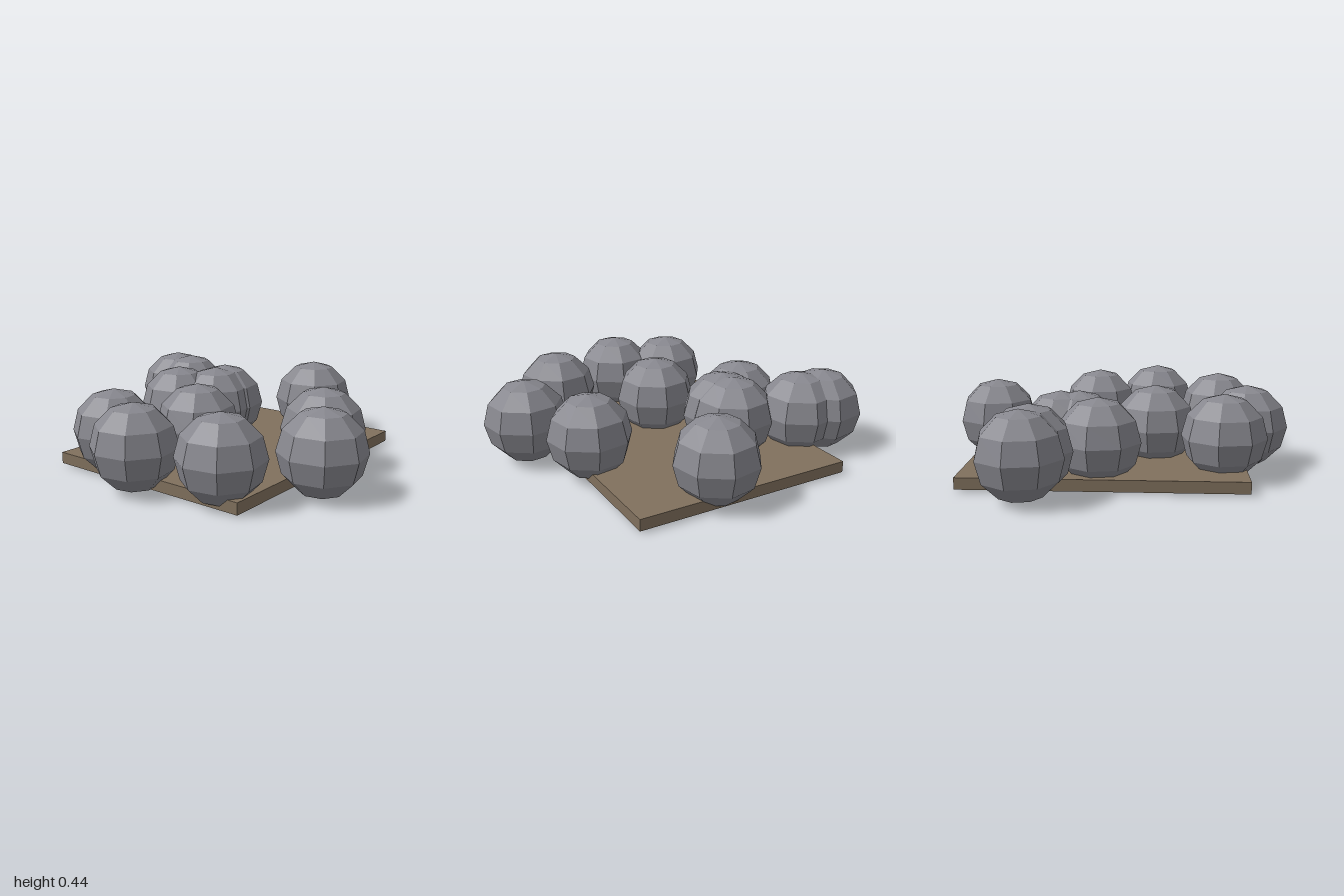
import * as THREE from 'three';

export function createModel() {
  const model = new THREE.Group();
  const stone = new THREE.MeshStandardMaterial({ color: 0x88888f });
  stone.name = 'stoneGrey';
  const earth = new THREE.MeshStandardMaterial({ color: 0x80705d });
  earth.name = 'earthBrown';

  // Thin slab, turned slightly about the vertical axis
  const slab = new THREE.Mesh(new THREE.BoxGeometry(1.432, 0.06, 1.17), earth);
  slab.name = 'baseSlab';
  slab.position.set(0.04, 0.043, -0.004);
  slab.rotation.y = 0.2;
  model.add(slab);

  // Faceted boulders scattered over the slab, their undersides poking through it
  const radius = 0.22;
  const boulderGeometry = new THREE.SphereGeometry(radius, 8, 6).toNonIndexed();
  boulderGeometry.computeVertexNormals();
  const spots = [
    [0.255, -0.78], [0.258, -0.645], [-0.015, -0.405], [0.222, -0.275],
    [0.13, -0.25], [-0.61, -0.165], [-0.693, 0.135], [-0.216, 0.02],
    [0.687, 0], [-0.49, 0.535], [0.227, 0.502], [-0.074, 0.775],
  ];
  spots.forEach(([x, z], i) => {
    const boulder = new THREE.Mesh(boulderGeometry, stone);
    boulder.name = `boulder${i + 1}`;
    boulder.position.set(x, radius + 0.003, z);
    model.add(boulder);
  });

  return model;
}
